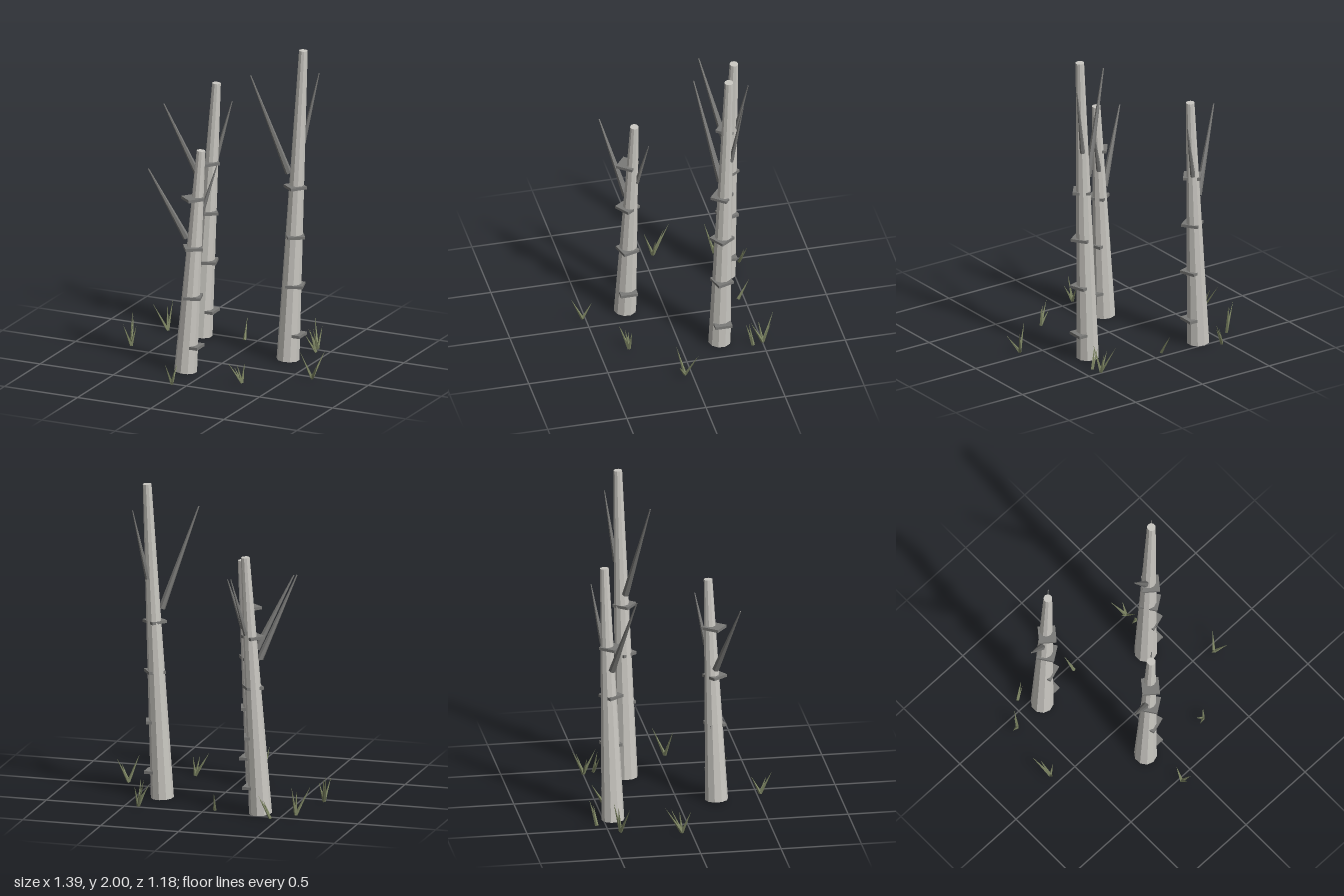
import * as THREE from 'three';

const paleBark = new THREE.MeshStandardMaterial({ name: 'paleBark', color: 0xcac8c2, flatShading: true });
const darkBark = new THREE.MeshStandardMaterial({ name: 'darkBark', color: 0x7a7a78, flatShading: true });
const grassGreen = new THREE.MeshStandardMaterial({ name: 'grassGreen', color: 0x7d8563, flatShading: true });

// Tapered rod between two points
function rod(name, from, to, r0, r1, sides, material) {
  const a = new THREE.Vector3(...from);
  const dir = new THREE.Vector3(...to).sub(a);
  const length = dir.length();
  const geo = new THREE.CylinderGeometry(r1, r0, length, sides);
  geo.translate(0, length / 2, 0);
  const mesh = new THREE.Mesh(geo, material);
  mesh.name = name;
  mesh.position.copy(a);
  mesh.quaternion.setFromUnitVectors(new THREE.Vector3(0, 1, 0), dir.normalize());
  return mesh;
}

// Leaning trunk with two bare branches and four turned bark ledges
function tree(x, z, h) {
  const g = new THREE.Group();
  g.name = 'tree';
  g.position.set(x, 0, z);
  g.add(rod('trunk', [-0.047, 0.005, 0.005], [0.039, h - 0.002, -0.034], 0.071, 0.027, 10, paleBark));
  g.add(rod('longBranch', [-0.045, 0.603 * h, 0.0], [-0.246, 0.92 * h, 0.121], 0.022, 0.004, 6, darkBark));
  g.add(rod('shortBranch', [0.03, 0.7 * h, -0.05], [0.111, 0.92 * h, -0.106], 0.016, 0.003, 6, darkBark));
  for (let i = 0; i < 4; i++) {
    const ledge = new THREE.Mesh(new THREE.BoxGeometry(0.108, 0.018, 0.108), darkBark);
    ledge.name = 'barkLedge';
    ledge.position.y = 0.17 + i * 0.3175;
    ledge.rotation.y = i * 0.3;
    g.add(ledge);
  }
  return g;
}

// Each tuft: base x, z, then blade tips as [x, y, z]
const tufts = [
  [0.637, 0.045, [[0.69, 0.17, -0.026], [0.698, 0.11, 0.097], [0.577, 0.18, 0.086]]],
  [-0.09, 0.52, [[-0.08, 0.12, 0.465], [-0.055, 0.1, 0.56], [-0.103, 0.15, 0.588]]],
  [0.29, 0.315, [[0.217, 0.14, 0.363], [0.235, 0.1, 0.31], [0.265, 0.13, 0.335], [0.3, 0.13, 0.3]]],
  [0.41, -0.5, [[0.355, 0.18, -0.577], [0.42, 0.14, -0.545], [0.355, 0.13, -0.485], [0.415, 0.16, -0.425]]],
  [0.43, -0.435, [[0.37, 0.12, -0.405], [0.4, 0.15, -0.415]]],
  [-0.65, -0.06, [[-0.695, 0.19, -0.17], [-0.667, 0.17, -0.13], [-0.62, 0.13, -0.07], [-0.68, 0.15, -0.01]]],
  [-0.58, -0.43, [[-0.66, 0.18, -0.385], [-0.565, 0.19, -0.47], [-0.59, 0.17, -0.445]]],
  [-0.455, -0.558, [[-0.392, 0.15, -0.593], [-0.42, 0.12, -0.58], [-0.405, 0.12, -0.57]]],
  [-0.07, -0.46, [[-0.085, 0.13, -0.53], [-0.078, 0.1, -0.51]]],
];

export function createModel() {
  const model = new THREE.Group();
  model.name = 'bareGrove';
  model.add(tree(-0.311, -0.447, 1.635), tree(-0.084, 0.236, 1.43), tree(0.379, -0.25, 2));
  for (const [x, z, tips] of tufts) {
    const g = new THREE.Group();
    g.name = 'grassTuft';
    for (const tip of tips) g.add(rod('grassBlade', [x, 0.008, z], tip, 0.011, 0.0005, 4, grassGreen));
    model.add(g);
  }
  return model;
}
